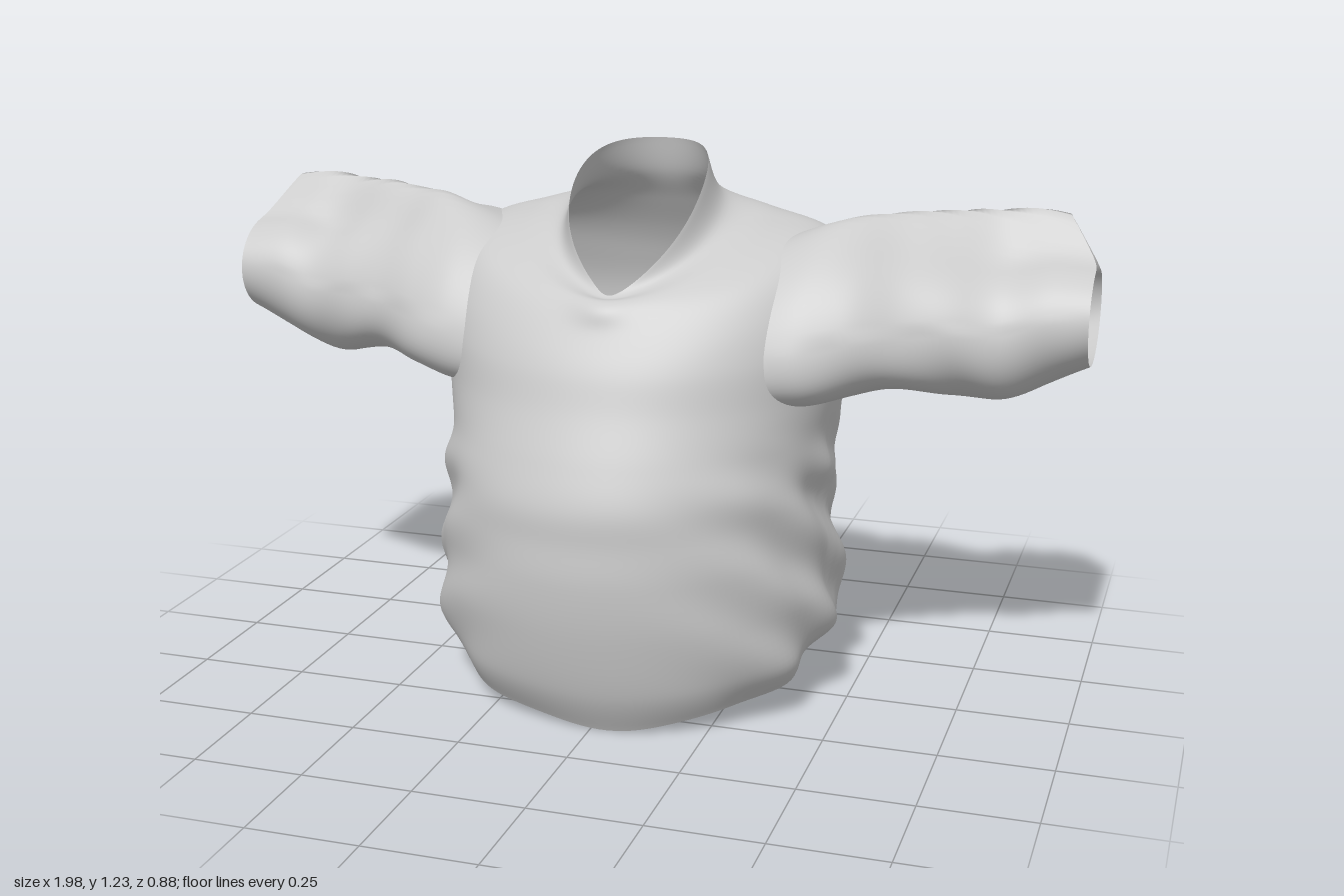
import * as THREE from 'three';

const material = new THREE.MeshStandardMaterial({ color: 0xcccccc, side: THREE.DoubleSide });

// Smooth interpolation through rows of section parameters, t in 0..1
function section(rows, t) {
  const f = t * (rows.length - 1);
  const i = Math.min(Math.floor(f), rows.length - 2), u = f - i;
  const row = (k) => rows[Math.max(0, Math.min(rows.length - 1, k))];
  return rows[0].map((_, c) => {
    const a = row(i - 1)[c], b = row(i)[c], d = row(i + 1)[c], e = row(i + 2)[c];
    const m0 = (d - a) / 2, m1 = (e - b) / 2, u2 = u * u, u3 = u2 * u;
    return (2 * u3 - 3 * u2 + 1) * b + (u3 - 2 * u2 + u) * m0 + (3 * u2 - 2 * u3) * d + (u3 - u2) * m1;
  });
}

// Open tube of closed rings; skip() leaves out faces to make holes
function loft(name, point, rings, sides, flip = false, skip = () => false) {
  const pos = [], index = [];
  for (let r = 0; r <= rings; r++)
    for (let s = 0; s < sides; s++) pos.push(...point(r / rings, (s / sides) * Math.PI * 2));
  const at = (k) => pos.slice(k * 3, k * 3 + 3);
  for (let r = 0; r < rings; r++)
    for (let s = 0; s < sides; s++) {
      const a = r * sides + s, b = r * sides + ((s + 1) % sides), c = a + sides, d = b + sides;
      if (skip(...at(a)) && skip(...at(d))) continue;
      if (flip) index.push(a, b, c, b, d, c);
      else index.push(a, c, b, b, c, d);
    }
  const geometry = new THREE.BufferGeometry();
  geometry.setAttribute('position', new THREE.Float32BufferAttribute(pos, 3));
  geometry.setIndex(index);
  geometry.computeVertexNormals();
  const mesh = new THREE.Mesh(geometry, material);
  mesh.name = name;
  return mesh;
}

// Torso rings: y front, y side, y back, half width, z front, z side, z back, back squareness
const torsoRows = [
  [0.01, 0.12, 0.13, 0.42, 0.345, 0, -0.36, 0.7],
  [0.10, 0.18, 0.20, 0.455, 0.39, 0, -0.43, 0.7],
  [0.24, 0.28, 0.30, 0.455, 0.425, 0, -0.40, 0.7],
  [0.36, 0.39, 0.41, 0.44, 0.44, 0, -0.37, 0.7],
  [0.45, 0.48, 0.48, 0.43, 0.438, 0, -0.365, 0.65],
  [0.53, 0.54, 0.445, 0.432, 0.435, -0.02, -0.405, 0.65],
  [0.62, 0.62, 0.58, 0.432, 0.405, -0.04, -0.405, 0.65],
  [0.72, 0.72, 0.72, 0.448, 0.362, -0.06, -0.40, 0.65],
  [0.80, 0.85, 0.84, 0.465, 0.332, -0.08, -0.39, 0.65],
  [0.86, 0.97, 0.93, 0.45, 0.30, -0.10, -0.362, 0.7],
  [0.915, 1.045, 1.00, 0.40, 0.265, -0.11, -0.33, 0.75],
  [0.945, 1.075, 1.08, 0.28, 0.24, -0.09, -0.28, 0.85],
  [0.945, 1.09, 1.15, 0.18, 0.21, -0.04, -0.235, 1],
  [0.95, 1.16, 1.232, 0.148, 0.20, 0, -0.212, 1],
];

function torsoPoint(t, angle) {
  const [yf, ys, yb, w, zf, zs, zb, sq] = section(torsoRows, t);
  const c = Math.cos(angle), s = Math.sin(angle);
  let y = ys + ((yf - yb) / 2) * s + ((yf + yb) / 2 - ys) * s * s;
  let x = w * (s < 0 ? Math.sign(c) * Math.abs(c) ** sq : c);
  let z = s > 0 ? zs + (zf - zs) * s : zs + (zb - zs) * Math.abs(s) ** sq;
  // Neck opening narrows to a V at the front
  if (s > 0) x *= 1 - 0.35 * s ** 4 * THREE.MathUtils.smoothstep(t, 0.85, 1);
  // Slanting folds at the waist sides
  const low = 1 - THREE.MathUtils.smoothstep(y, 0.5, 0.68);
  const fold = low * c * c * (Math.sin(34 * (y - 0.6 * z) + x * 3) + 0.4 * Math.sin(13 * y - 37 * z));
  x += Math.sign(c) * 0.012 * fold;
  // Soft vertical drapes on the back, uneven hem
  if (s < 0) z += 0.01 * s * s * Math.sin(x * 17 + y * 5) * (1 - t);
  y += 0.006 * Math.sin(angle * 7 + 1) * Math.max(0, 1 - t * 8);
  // Pucker where the collar closes
  if (s > 0) z += 0.015 * Math.exp(-((x / 0.06) ** 2) - ((y - 0.93) / 0.03) ** 2);
  return [x, y, z];
}

// Sleeve rings: x, centre y, centre z, half height, half depth, top fold height, fold angle, forward droop
const sleeveRows = [
  [0.32, 0.875, -0.06, 0.17, 0.265, 0, 1.4, 0.32],
  [0.41, 0.885, -0.075, 0.185, 0.268, 0.01, 1.45, 0.3],
  [0.50, 0.89, -0.09, 0.17, 0.25, 0.04, 1.55, 0.25],
  [0.60, 0.88, -0.11, 0.155, 0.21, 0.07, 1.65, 0.18],
  [0.70, 0.865, -0.125, 0.152, 0.18, 0.095, 1.75, 0.1],
  [0.80, 0.85, -0.14, 0.15, 0.16, 0.115, 1.85, 0.03],
  [0.90, 0.88, -0.14, 0.135, 0.145, 0.11, 1.93, 0],
  [0.99, 0.90, -0.137, 0.11, 0.135, 0.105, 1.95, 0],
];

function sleevePoint(side) {
  return (t, angle) => {
    const [x, cy, cz, ry, rz, pinch, ridgeAngle, droop] = section(sleeveRows, t);
    const s = Math.sin(angle), c = Math.cos(angle);
    const ridge = Math.exp(-(((angle - ridgeAngle) / (angle < ridgeAngle ? 0.28 : 0.2)) ** 2));
    // Creases under the arm and around the elbow
    const crease = 1 + 0.022 * Math.sin(x * 34 + angle * 3 + side) * Math.sin(Math.PI * t) * (s < 0.3 ? 1 : 0.4);
    return [
      side * (x - 0.07 * ridge * t * t),
      cy + ry * s * crease + pinch * ridge - droop * rz * Math.max(0, c) ** 2,
      cz + rz * c * crease - 0.02 * ridge * t,
    ];
  };
}

// Torso faces that lie inside a sleeve opening
const inArmhole = (x, y, z) =>
  Math.abs(x) > 0.34 && ((y - 0.885 + 0.25 * Math.max(0, z + 0.07)) / 0.17) ** 2 + ((z + 0.085) / 0.235) ** 2 < 1;

export function createModel() {
  const shirt = new THREE.Group();
  shirt.name = 'shirt';
  shirt.add(loft('torsoAndCollar', torsoPoint, 104, 144, false, inArmhole));
  for (const side of [1, -1])
    shirt.add(loft(side > 0 ? 'leftSleeve' : 'rightSleeve', sleevePoint(side), 48, 80, side < 0));
  return shirt;
}
